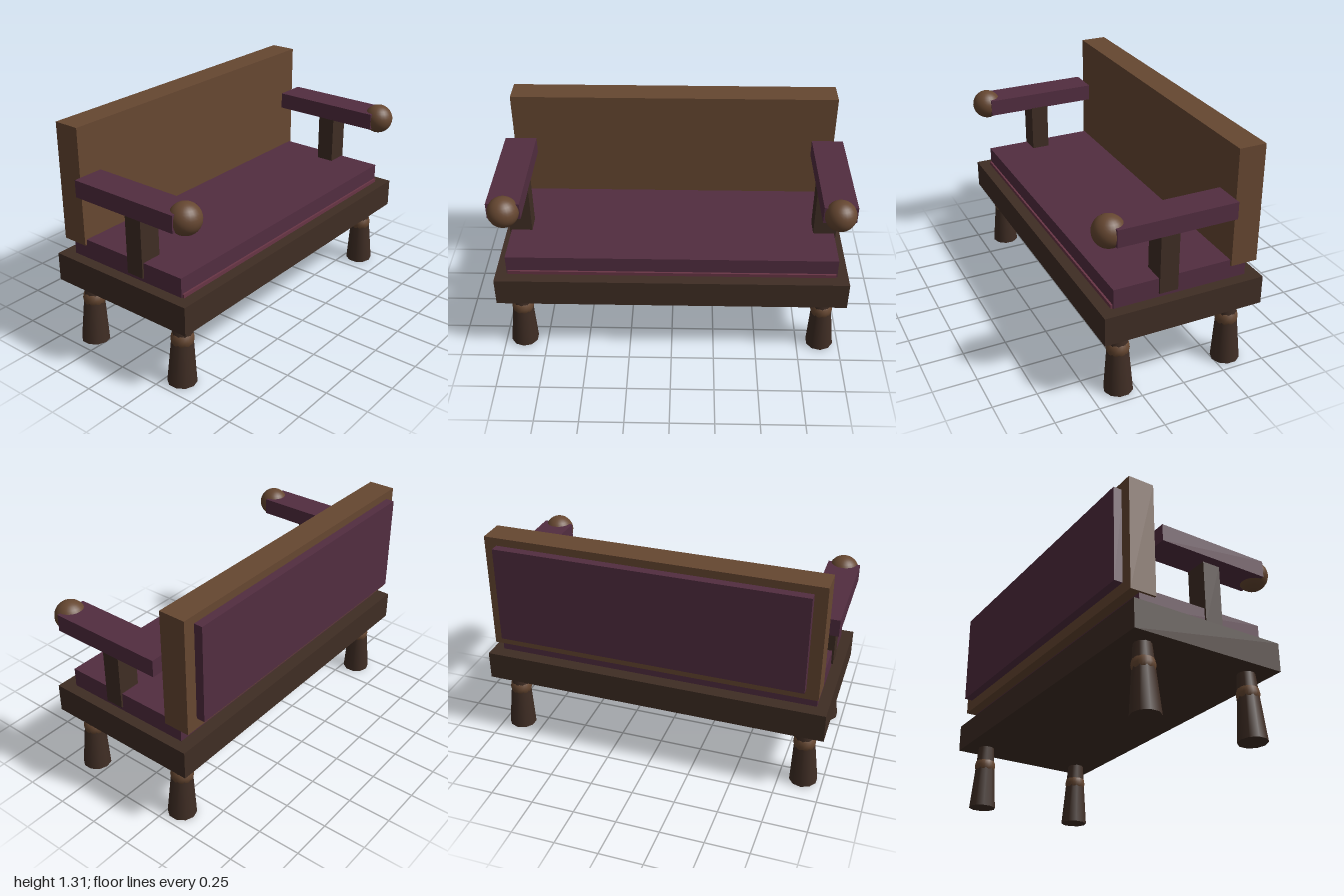
import * as THREE from 'three';

const mat = (color) => new THREE.MeshStandardMaterial({ color });

export function createModel() {
  const bench = new THREE.Group();
  bench.name = 'bench';
  const darkWood = mat(0x3f2d24);
  const wood = mat(0x664731);
  const fabric = mat(0x522d40);
  const piping = mat(0x683545);

  const add = (name, geometry, material, parent = bench) => {
    const mesh = new THREE.Mesh(geometry, material);
    mesh.name = name;
    parent.add(mesh);
    return mesh;
  };

  // Box given by its limits on each axis
  const box = (name, material, [x0, x1], [y0, y1], [z0, z1]) => {
    const mesh = add(name, new THREE.BoxGeometry(x1 - x0, y1 - y0, z1 - z0), material);
    mesh.position.set((x0 + x1) / 2, (y0 + y1) / 2, (z0 + z1) / 2);
    return mesh;
  };

  // Base, seat and back
  box('baseFrame', darkWood, [-1, 1], [0.39, 0.555], [-0.455, 0.47]);
  box('seatTrim', piping, [-0.93, 0.93], [0.55, 0.576], [-0.375, 0.405]);
  box('seatCushion', fabric, [-0.937, 0.937], [0.556, 0.667], [-0.38, 0.394]);
  box('backrest', wood, [-0.95, 0.95], [0.635, 1.31], [-0.44, -0.285]);
  box('backPanel', fabric, [-0.88, 0.88], [0.7, 1.265], [-0.49, -0.43]);

  for (const side of [-1, 1]) {
    const label = side > 0 ? 'left' : 'right';
    const span = (a, b) => (side > 0 ? [a, b] : [-b, -a]);

    // Armrest with post and round knob
    box(label + 'ArmPost', darkWood, span(0.817, 0.948), [0.58, 0.95], [0.03, 0.137]);
    box(label + 'Armrest', fabric, span(0.817, 1), [0.945, 1.042], [-0.27, 0.405]);
    const knob = add(label + 'ArmKnob', new THREE.SphereGeometry(0.087, 24, 16), wood);
    knob.position.set(side * 0.908, 0.995, 0.408);

    // Tapered legs, splayed slightly outward, each with a turned ring
    for (const [end, z] of [['Front', 0.34], ['Back', -0.323]]) {
      const leg = new THREE.Group();
      leg.name = label + end + 'Leg';
      leg.position.set(side * 0.882, 0.204, z);
      leg.rotation.z = side * 0.04;
      bench.add(leg);
      add('legShaft', new THREE.CylinderGeometry(0.048, 0.081, 0.4, 10), darkWood, leg);
      const ring = add('legRing', new THREE.TorusGeometry(0.037, 0.027, 10, 24), wood, leg);
      ring.rotation.x = Math.PI / 2;
      ring.scale.z = 1.7;
      ring.position.y = 0.067;
    }
  }
  return bench;
}
